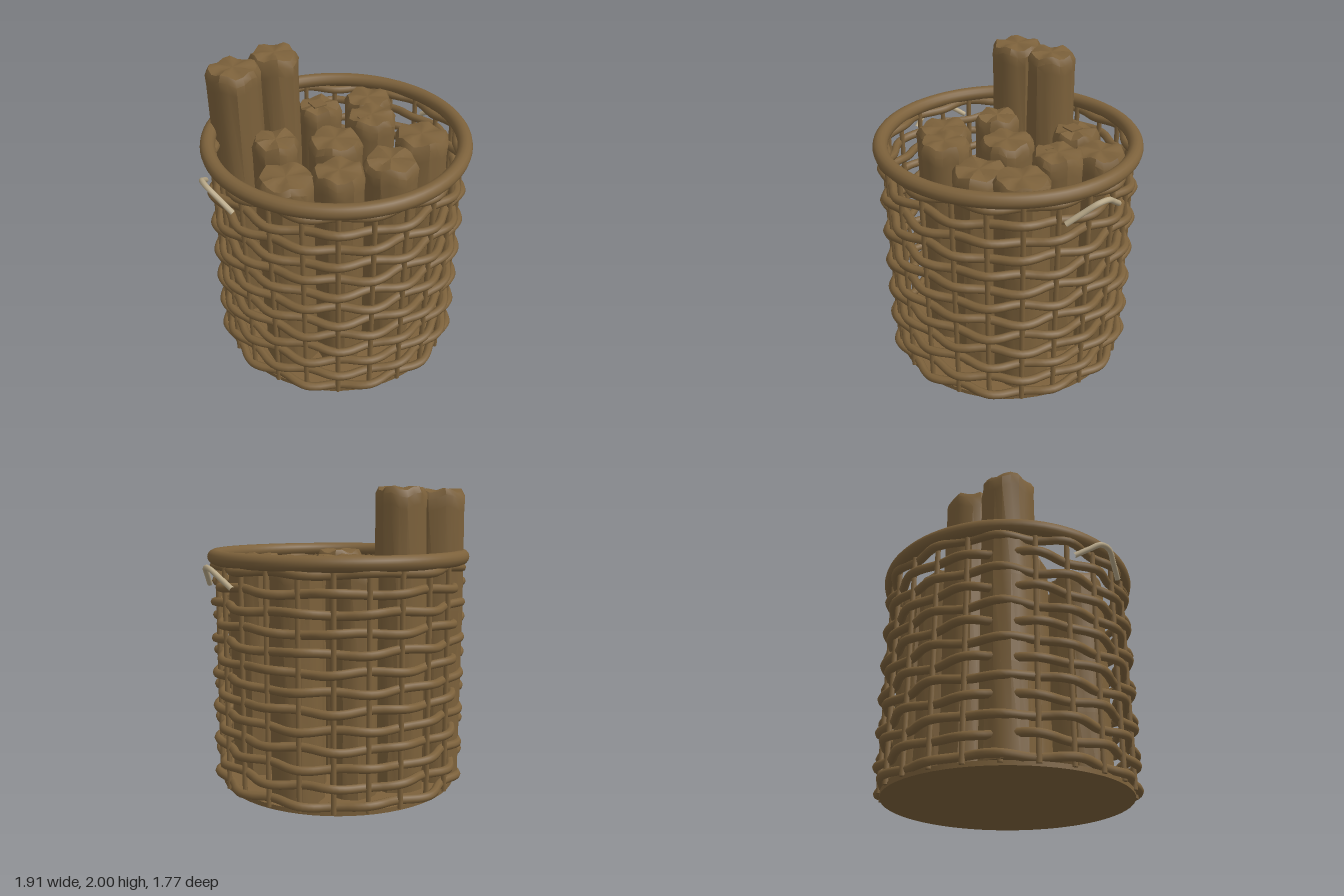
import * as THREE from 'three';
import { mergeVertices, toCreasedNormals } from 'three/addons/utils/BufferGeometryUtils.js';

const RADIUS = 0.82, STAKES = 24, ROWS = 13;

export function createModel() {
  const model = new THREE.Group();
  model.name = 'logBasket';
  const wood = new THREE.MeshStandardMaterial({ color: 0x7c613b });
  wood.name = 'brown wood';
  const rope = new THREE.MeshStandardMaterial({ color: 0xb8a888 });
  rope.name = 'pale handle';

  const add = (name, geometry, material = wood, parent = model) => {
    const mesh = new THREE.Mesh(geometry, material);
    mesh.name = name;
    parent.add(mesh);
    return mesh;
  };

  // Floor of the basket
  add('base', new THREE.CylinderGeometry(0.815, 0.815, 0.03, 64)).position.y = 0.015;

  // Upright stakes
  const stakes = new THREE.Group();
  stakes.name = 'stakes';
  model.add(stakes);
  const stakeGeometry = new THREE.CylinderGeometry(0.017, 0.017, 1.5, 8);
  for (let i = 0; i < STAKES; i++) {
    const a = (i / STAKES) * Math.PI * 2;
    add('stake', stakeGeometry, wood, stakes).position.set(RADIUS * Math.cos(a), 0.765, RADIUS * Math.sin(a));
  }

  // Woven rows pass in and out of the stakes, alternating from row to row
  const weave = new THREE.Group();
  weave.name = 'weave';
  model.add(weave);
  for (let row = 0; row < ROWS; row++) {
    const side = row % 2 ? 1 : -1;
    const points = [];
    for (let i = 0; i < STAKES * 3; i++) {
      const a = (i / (STAKES * 3)) * Math.PI * 2;
      const r = RADIUS + side * 0.024 * Math.cos(a * STAKES / 2);
      const y = 0.06 + row * 0.1185 + 0.009 * Math.sin(a * 8 + row * 2.6);
      points.push(new THREE.Vector3(r * Math.cos(a), y, r * Math.sin(a)));
    }
    const path = new THREE.CatmullRomCurve3(points, true);
    add('wovenRow', new THREE.TubeGeometry(path, 168, 0.029, 8, true), wood, weave);
  }

  // Thick rim
  const rim = add('rim', new THREE.TorusGeometry(0.837, 0.049, 14, 80));
  rim.rotation.x = Math.PI / 2;
  rim.position.y = 1.542;

  // Bowed handles on both sides
  for (const s of [1, -1]) {
    const path = new THREE.CatmullRomCurve3([
      [0.85, 1.37, -0.21], [0.895, 1.435, -0.12], [0.932, 1.487, -0.04],
      [0.932, 1.487, 0.04], [0.895, 1.435, 0.12], [0.85, 1.37, 0.21],
    ].map(([x, y, z]) => new THREE.Vector3(s * x, y, z)));
    add(s > 0 ? 'leftHandle' : 'rightHandle', new THREE.TubeGeometry(path, 32, 0.018, 10), rope);
  }

  // Logs: x, z, radius, top height
  const logs = [
    [-0.50, -0.45, 0.175, 1.98], [-0.18, -0.50, 0.165, 1.99],
    [0.14, -0.47, 0.155, 1.53], [0.49, -0.38, 0.17, 1.54],
    [-0.36, -0.17, 0.155, 1.55], [0.36, -0.13, 0.17, 1.55],
    [-0.01, 0.00, 0.18, 1.54], [-0.48, 0.20, 0.185, 1.51],
    [-0.20, 0.37, 0.165, 1.56], [0.19, 0.36, 0.18, 1.51],
    [0.50, 0.26, 0.18, 1.55],
  ];
  const pile = new THREE.Group();
  pile.name = 'logs';
  model.add(pile);
  logs.forEach(([x, z, r, top], i) => {
    add('log', logGeometry(r, top - 0.03, i * 1.7 + 0.4), wood, pile).position.set(x, 0.03, z);
  });

  // Flat bark chips lying on some of the log tops
  for (const [x, y, z, size] of [[0.12, 1.54, -0.46, 0.1], [0.28, 1.55, -0.11, 0.06], [0.48, 1.52, -0.12, 0.05]]) {
    add('barkChip', new THREE.BoxGeometry(size, 0.009, size), wood, pile).position.set(x, y, z);
  }
  return model;
}

// Ridged bark column with a chipped, softly crowned end
function logGeometry(r, h, seed) {
  const profile = [
    [0, 0], [r, 0], [r * 0.97, h * 0.3], [r, h * 0.6], [r * 0.98, h - 0.12],
    [r, h - 0.05], [r * 0.87, h - 0.008], [r * 0.5, h], [0, h - 0.005],
  ].map(([x, y]) => new THREE.Vector2(x, y));
  let geometry = new THREE.LatheGeometry(profile, 20);
  const p = geometry.attributes.position;
  for (let i = 0; i < p.count; i++) {
    const x = p.getX(i), y = p.getY(i), z = p.getZ(i);
    const a = Math.atan2(z, x), d = Math.hypot(x, z) / r;
    const bark = 1 + 0.03 * Math.sin(3 * a + seed + y) + 0.035 * Math.sin(8 * a + seed * 3 + y * 2.5);
    const chip = y > h * 0.8 ? 0.018 * d * Math.sin(5 * a + seed * 5) : 0;
    p.setXYZ(i, x * bark, y + chip, z * bark);
  }
  geometry.deleteAttribute('uv');
  geometry.deleteAttribute('normal');
  geometry = mergeVertices(geometry, 1e-4);
  return toCreasedNormals(geometry, 0.6);
}
